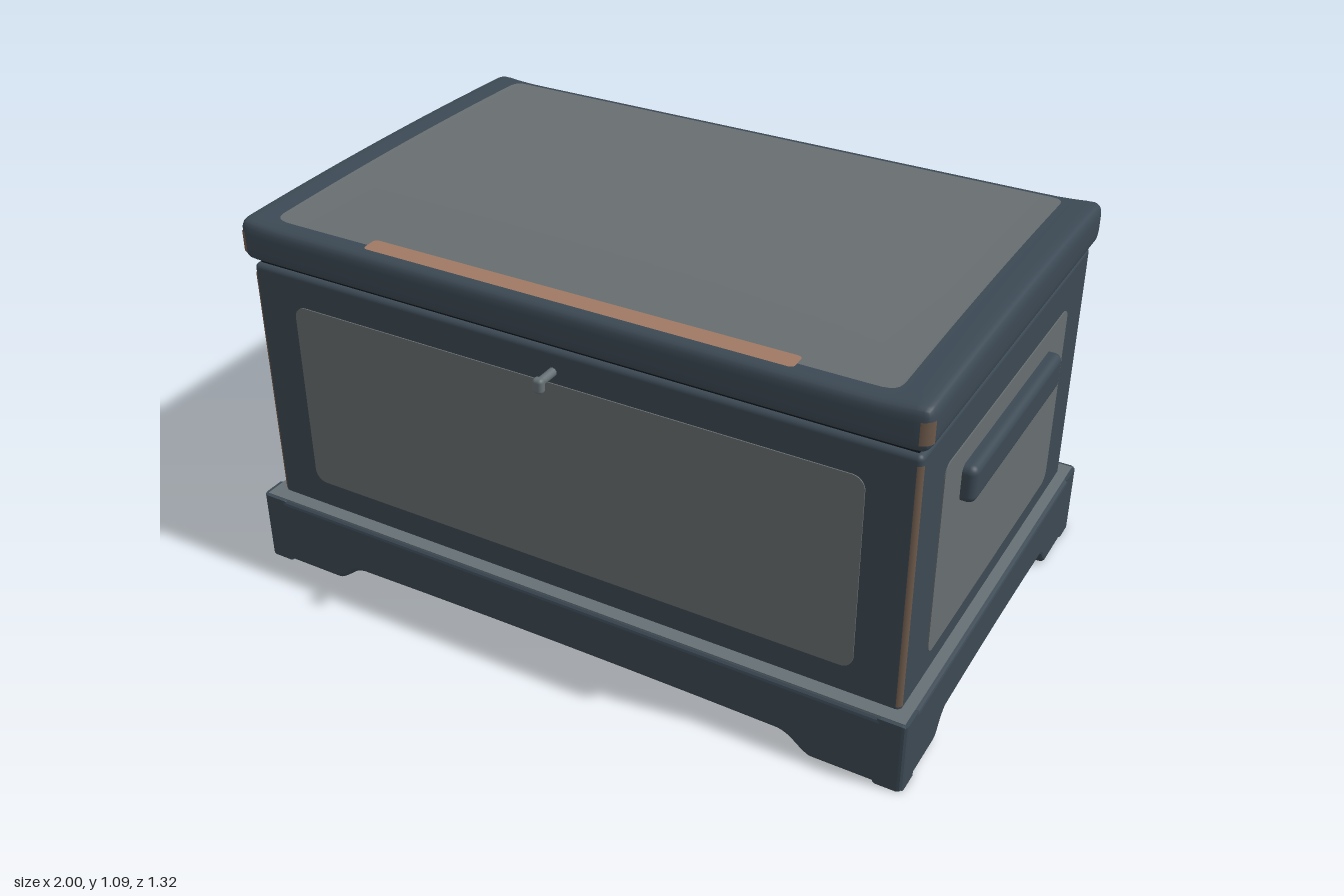
import * as THREE from 'three';
import { mergeVertices } from 'three/addons/utils/BufferGeometryUtils.js';
import { RoundedBoxGeometry } from 'three/addons/geometries/RoundedBoxGeometry.js';

const mat = (name, color, side = THREE.FrontSide) => {
  const m = new THREE.MeshStandardMaterial({ color, side });
  m.name = name;
  return m;
};

export function createModel() {
  const root = new THREE.Group();
  root.name = 'chest';
  const slate = mat('slate blue paint', 0x3c4954);
  const grey = mat('grey panel', 0x686e70);
  const worn = mat('worn edge grey', 0x667074);
  const wood = mat('bare wood', 0xa07a64);
  const brown = mat('worn corner brown', 0x6e5a4b);
  const gap = mat('dark gap', 0x15191c);

  const add = (name, geo, material, x = 0, y = 0, z = 0, ry = 0, parent = root) => {
    const m = new THREE.Mesh(geo, material);
    m.name = name;
    m.position.set(x, y, z);
    m.rotation.y = ry;
    parent.add(m);
    return m;
  };

  // Pulls vertices toward the edges and rounds the edges off with radius r
  const soften = (geo, half, r) => {
    const pos = geo.attributes.position, p = new THREE.Vector3(), inner = new THREE.Vector3();
    const ease = (v, h) => (h ? Math.sign(v) * h * (1 - (1 - Math.min(1, Math.abs(v) / h)) ** 2) : 0);
    const limit = half.clone().subScalar(r).max(new THREE.Vector3());
    for (let i = 0; i < pos.count; i++) {
      p.fromBufferAttribute(pos, i);
      p.set(ease(p.x, half.x), ease(p.y, half.y), ease(p.z, half.z));
      inner.copy(p).clamp(limit.clone().negate(), limit);
      p.sub(inner).clampLength(0, r).add(inner);
      pos.setXYZ(i, p.x, p.y, p.z);
    }
  };
  // Gentle crown front to back, with slightly raised ends
  const crown = (x, z) =>
    0.012 * (1 - (z / 0.62) ** 2) + 0.012 * Math.max(0, (Math.abs(x) - 0.82) / 0.16) ** 2;
  const finish = (geo) => {
    geo.deleteAttribute('uv');
    geo.deleteAttribute('normal');
    const g = mergeVertices(geo, 1e-5);
    g.computeVertexNormals();
    return g;
  };

  // Body
  const bodyZ = -0.015;
  add('body', new RoundedBoxGeometry(1.92, 0.855, 1.2, 4, 0.015), slate, 0, 0.5175, bodyZ);
  add('lidGap', new THREE.BoxGeometry(1.89, 0.05, 1.17), gap, 0, 0.95, bodyZ);
  add('floor', new THREE.BoxGeometry(1.86, 0.015, 1.16), grey, 0, 0.0875, -0.01);

  // Painted panels on the four walls
  const panel = (w, h) => {
    const s = new THREE.Shape(), r = 0.035, x = w / 2, y = h / 2;
    s.absarc(x - r, y - r, r, 0, Math.PI / 2);
    s.absarc(-x + r, y - r, r, Math.PI / 2, Math.PI);
    s.absarc(-x + r, -y + r, r, Math.PI, 1.5 * Math.PI);
    s.absarc(x - r, -y + r, r, 1.5 * Math.PI, 2 * Math.PI);
    return new THREE.ExtrudeGeometry(s, { depth: 0.004, bevelEnabled: false, curveSegments: 5 });
  };
  const longPanel = panel(1.66, 0.56), shortPanel = panel(0.89, 0.56);
  add('frontPanel', longPanel, grey, 0, 0.57, 0.584);
  add('backPanel', longPanel, grey, 0, 0.57, -0.614, Math.PI);
  add('leftPanel', shortPanel, grey, 0.959, 0.55, bodyZ, Math.PI / 2);
  add('rightPanel', shortPanel, grey, -0.959, 0.55, bodyZ, -Math.PI / 2);

  // Plinth: four skirts with a shallow arch between the feet
  const skirt = (half, foot, slope, rise) => {
    const s = new THREE.Shape(), b = 0.014, t = 0.085;
    s.moveTo(-half, 0);
    s.lineTo(-foot, 0);
    s.quadraticCurveTo(-foot + 0.015, 0.002, -foot + slope * 0.5, rise * 0.6);
    s.quadraticCurveTo(-foot + slope * 0.75, rise, -foot + slope, rise);
    s.quadraticCurveTo(0, rise + 0.012, foot - slope, rise);
    s.quadraticCurveTo(foot - slope * 0.75, rise, foot - slope * 0.5, rise * 0.6);
    s.quadraticCurveTo(foot - 0.015, 0.002, foot, 0);
    s.lineTo(half, 0);
    s.lineTo(half, 0.21);
    s.lineTo(-half, 0.21);
    const g = new THREE.ExtrudeGeometry(s, {
      depth: t - 2 * b, bevelThickness: b, bevelSize: b, bevelOffset: -b, bevelSegments: 3, curveSegments: 6,
    });
    return g.translate(0, 0, b - t);
  };
  const longSkirt = skirt(1, 0.75, 0.1, 0.054), sideSkirt = skirt(0.645, 0.432, 0.075, 0.062);
  add('frontSkirt', longSkirt, slate, 0, 0, 0.635);
  add('backSkirt', longSkirt, slate, 0, 0, -0.655, Math.PI);
  add('leftSkirt', sideSkirt, slate, 1, 0, -0.01, Math.PI / 2);
  add('rightSkirt', sideSkirt, slate, -1, 0, -0.01, -Math.PI / 2);
  add('plinthLedge', new THREE.BoxGeometry(1.98, 0.006, 1.27), worn, 0, 0.209, -0.01);

  // Lid
  const lidZ = -0.0125, lidHalf = new THREE.Vector3(0.98, 0.0575, 0.6175);
  const lid = new THREE.BoxGeometry(1.96, 0.115, 1.235, 28, 10, 24);
  soften(lid, lidHalf, 0.033);
  const lp = lid.attributes.position;
  for (let i = 0; i < lp.count; i++) {
    const up = (lp.getY(i) + 0.0575) / 0.115;
    lp.setY(i, lp.getY(i) + up * crown(lp.getX(i), lp.getZ(i)));
  }
  add('lid', finish(lid), slate, 0, 1.0145, lidZ);

  // Thin sheets that follow the crown of the lid
  const lidSheet = (name, x0, x1, z0, z1, lift, r, material) => {
    const w = x1 - x0, d = z1 - z0, cx = (x0 + x1) / 2, cz = (z0 + z1) / 2;
    const g = new THREE.PlaneGeometry(w, d, 28, 24).rotateX(-Math.PI / 2);
    soften(g, new THREE.Vector3(w / 2, 0, d / 2), r);
    const p = g.attributes.position;
    for (let i = 0; i < p.count; i++) p.setY(i, crown(p.getX(i) + cx, p.getZ(i) + cz - lidZ));
    add(name, finish(g), material, cx, 1.072 + lift, cz);
  };
  lidSheet('lidPanel', -0.89, 0.88, -0.585, 0.555, 0.003, 0.035, grey);
  lidSheet('lidWornStrip', -0.58, 0.635, 0.527, 0.58, 0.006, 0.012, wood);

  // Worn paint on the vertical corners of body and lid
  const wear = (name, hx, hz, cz, y, h, r) => {
    for (const sx of [-1, 1]) for (const sz of [-1, 1]) {
      const start = sz > 0 ? (sx > 0 ? 0 : 1.5 * Math.PI) : (sx > 0 ? 0.5 * Math.PI : Math.PI);
      const g = new THREE.CylinderGeometry(r + 0.002, r + 0.002, h, 6, 1, true, start + 0.2, Math.PI / 2 - 0.4);
      add(name, g, brown, sx * (hx - r), y, cz + sz * (hz - r));
    }
  };
  wear('bodyCornerWear', 0.96, 0.6, bodyZ, 0.57, 0.7, 0.015);
  wear('lidCornerWear', 0.98, 0.6175, lidZ, 1.017, 0.06, 0.033);

  // Side handles
  for (const s of [-1, 1])
    add(s > 0 ? 'leftHandle' : 'rightHandle', new RoundedBoxGeometry(0.06, 0.106, 0.645, 4, 0.022),
      slate, s * 0.97, 0.71, -0.0125);

  // Small latch peg on the front
  const latch = new THREE.Group();
  latch.name = 'latch';
  latch.position.set(-0.01, 0.883, 0);
  root.add(latch);
  add('latchPeg', new THREE.CylinderGeometry(0.012, 0.012, 0.07, 10).rotateX(Math.PI / 2), worn, 0, 0, 0.615, 0, latch);
  add('latchKnob', new RoundedBoxGeometry(0.03, 0.042, 0.024, 3, 0.01), worn, 0, -0.006, 0.648, 0, latch);

  return root;
}
